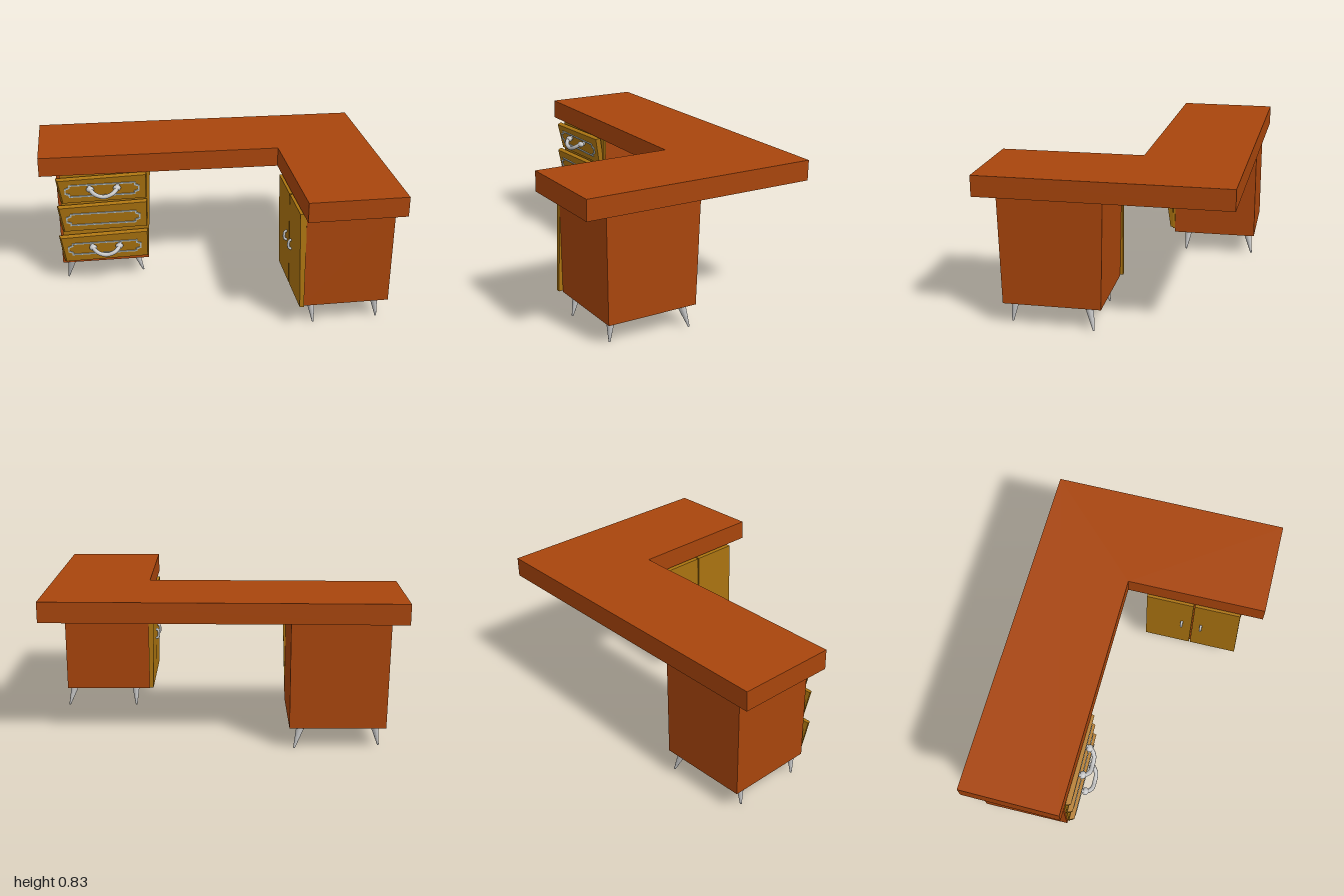
import * as THREE from 'three';

const mat = (name, color) => {
  const m = new THREE.MeshStandardMaterial({ color });
  m.name = name;
  return m;
};

export function createModel() {
  const wood = mat('orange wood', 0xa8450c);
  const gold = mat('golden wood', 0xac7410);
  const metal = mat('light metal', 0xc4c4c4);
  const inlay = mat('pale inlay', 0xb9c4c6);
  const root = new THREE.Group();
  root.name = 'cornerDesk';

  const add = (parent, name, geo, material) => {
    const mesh = new THREE.Mesh(geo, material);
    mesh.name = name;
    parent.add(mesh);
    return mesh;
  };

  // Box whose eight corners are given by a rule on the signs of x, y, z
  const warpBox = (corner) => {
    const g = new THREE.BoxGeometry(2, 2, 2).toNonIndexed();
    const p = g.attributes.position;
    for (let i = 0; i < p.count; i++) {
      p.setXYZ(i, ...corner(p.getX(i) > 0, p.getY(i) > 0, p.getZ(i) > 0));
    }
    g.computeVertexNormals();
    return g;
  };

  // Slightly skewed L-shaped top
  const outline = [[-0.99, -0.712], [0.998, -0.665], [0.99, 0.705], [0.432, 0.705], [0.432, -0.105], [-1, -0.138]];
  const topShape = new THREE.Shape(outline.map(([x, z]) => new THREE.Vector2(x, -z)));
  const topGeo = new THREE.ExtrudeGeometry(topShape, { depth: 0.115, bevelEnabled: false });
  topGeo.rotateX(-Math.PI / 2).translate(0, 0.722, 0);
  add(root, 'deskTop', topGeo, wood);

  // Splayed tapering legs: each goes from a top point to a floor point
  const leg = (parent, top, tip) => {
    const a = new THREE.Vector3(top[0], 0.128, top[1]);
    const b = new THREE.Vector3(tip[0], 0.006, tip[1]);
    const axis = a.clone().sub(b);
    const m = add(parent, 'leg', new THREE.CylinderGeometry(0.024, 0.005, axis.length(), 12), metal);
    m.position.copy(a).add(b).multiplyScalar(0.5);
    m.quaternion.setFromUnitVectors(new THREE.Vector3(0, 1, 0), axis.normalize());
  };

  // Drawer pedestal
  const drawers = new THREE.Group();
  drawers.name = 'drawerPedestal';
  root.add(drawers);
  add(drawers, 'drawerCabinet', warpBox((r, t, f) => [r ? -0.36 : (t ? -0.9 : -0.892), t ? 0.724 : 0.127, f ? -0.163 : -0.67]), wood);
  add(drawers, 'drawerFrame', warpBox((r, t, f) => [r ? (t ? -0.34 : -0.36) : -0.88, t ? 0.722 : 0.15, f ? -0.152 : -0.165]), gold);
  leg(drawers, [-0.835, -0.19], [-0.863, -0.21]);
  leg(drawers, [-0.435, -0.245], [-0.39, -0.235]);
  leg(drawers, [-0.835, -0.59], [-0.86, -0.605]);
  leg(drawers, [-0.425, -0.625], [-0.388, -0.655]);

  // Notched frame ring for the drawer inlays
  const notched = (w, h, n) => [
    [-w + n, -h], [w - n, -h], [w - n, -h + n * 0.6], [w, -h + n], [w, h - n], [w - n, h - n * 0.6],
    [w - n, h], [-w + n, h], [-w + n, h - n * 0.6], [-w, h - n], [-w, -h + n], [-w + n, -h + n * 0.6],
  ].map(([x, y]) => new THREE.Vector2(x, y));
  const ring = new THREE.Shape(notched(0.224, 0.043, 0.024));
  ring.holes.push(new THREE.Path(notched(0.216, 0.035, 0.024)));
  const ringGeo = new THREE.ExtrudeGeometry(ring, { depth: 0.006, bevelEnabled: false });

  // Drooping drawer pull
  const pull = new THREE.CatmullRomCurve3([
    [-0.085, 0.022, 0], [-0.08, 0.02, 0.03], [-0.05, 0.002, 0.06], [0, -0.012, 0.066],
    [0.05, 0.002, 0.06], [0.08, 0.02, 0.03], [0.085, 0.022, 0],
  ].map((p) => new THREE.Vector3(...p)));
  const pullGeo = new THREE.TubeGeometry(pull, 32, 0.013, 10);
  const collarGeo = new THREE.SphereGeometry(0.02, 12, 8).scale(1.2, 0.9, 1);

  // Three forward-leaning drawer fronts: top, middle, bottom
  [[0.715, 0.54, 0.625, true], [0.537, 0.352, 0.437, false], [0.338, 0.148, 0.238, true]].forEach(([hi, lo, mid, hasPull]) => {
    const drawer = new THREE.Group();
    drawer.name = 'drawer';
    drawers.add(drawer);
    add(drawer, 'drawerFront', warpBox((r, t, f) => {
      const x = r ? (f ? -0.37 : -0.363) : t ? (f ? -0.895 : -0.907) : (f ? -0.868 : -0.88);
      const y = t ? hi + (r ? 0.002 : -0.012) + (f ? -0.006 : 0.002) : lo + (r ? 0.002 : -0.006) + (f ? 0.008 : 0);
      return [x, y, (t ? -0.108 : -0.133) - (f ? 0 : 0.029)];
    }), gold);
    const face = new THREE.Group();
    face.name = 'drawerTrim';
    face.position.set(-0.632, mid, -0.121);
    face.rotation.x = 0.143;
    drawer.add(face);
    add(face, 'inlayFrame', ringGeo, inlay);
    if (hasPull) {
      add(face, 'pull', pullGeo, metal).position.x = 0.008;
      for (const s of [-1, 1]) add(face, 'pullCollar', collarGeo, metal).position.set(0.008 + s * 0.08, 0.02, 0.025);
    }
  });

  // Door pedestal, opening toward the knee space
  const cupboard = new THREE.Group();
  cupboard.name = 'doorPedestal';
  root.add(cupboard);
  add(cupboard, 'doorCabinet', warpBox((r, t, f) => [r ? 0.962 : 0.457, t ? 0.724 : 0.127, f ? (t ? 0.58 : 0.566) : (t ? 0.016 : 0.03)]), wood);
  leg(cupboard, [0.515, 0.51], [0.527, 0.545]);
  leg(cupboard, [0.55, 0.1], [0.545, 0.07]);
  leg(cupboard, [0.89, 0.515], [0.907, 0.53]);
  leg(cupboard, [0.925, 0.1], [0.96, 0.07]);

  // Pair of doors meeting in the middle, each with a small pull
  const doorPull = new THREE.CatmullRomCurve3([
    [0, 0.03, 0], [-0.014, 0.022, 0], [-0.018, 0, 0], [-0.014, -0.022, 0], [0, -0.03, 0],
  ].map((p) => new THREE.Vector3(...p)));
  const doorPullGeo = new THREE.TubeGeometry(doorPull, 16, 0.008, 8);
  for (const s of [-1, 1]) {
    add(cupboard, 'door', warpBox((r, t, f) => {
      const outer = (s > 0) === f;
      const z = outer ? (s > 0 ? (t ? 0.574 : 0.591) : 0.012) : 0.298 + s * 0.004;
      return [r ? 0.458 : (t ? 0.42 : 0.434), t ? 0.712 : 0.135, z];
    }), gold);
    add(cupboard, 'doorPull', doorPullGeo, metal).position.set(0.428, 0.42, 0.295 + s * 0.06);
  }

  return root;
}
